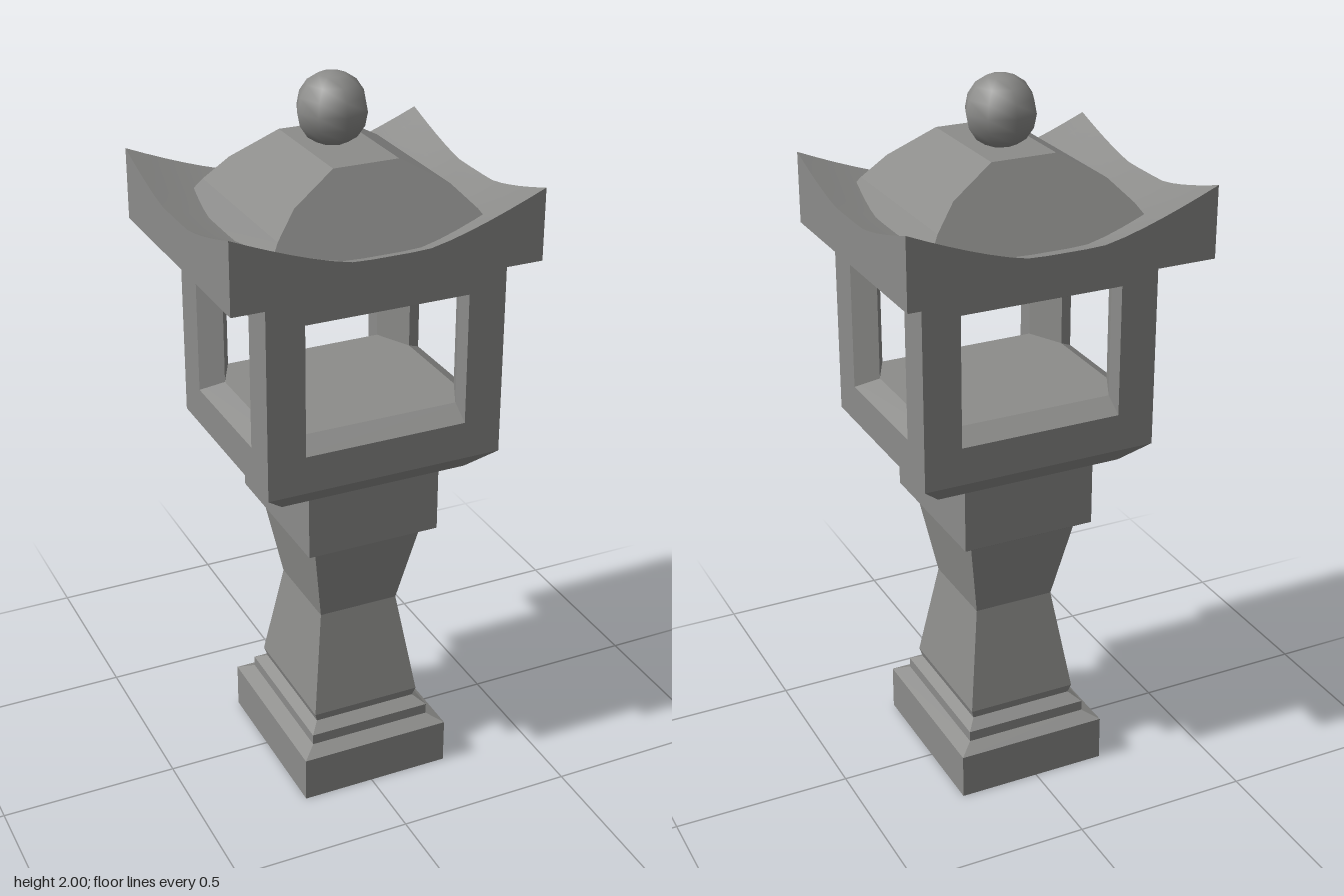
import * as THREE from 'three';

const stone = new THREE.MeshStandardMaterial({ color: 0x8c8c8a });
stone.name = 'grey stone';
const flatStone = (geometry) => {
  const g = geometry.index ? geometry.toNonIndexed() : geometry;
  g.computeVertexNormals();
  return g;
};

// Stack of rectangles [y, halfX, halfZ], bottom to top, with end caps
function loft(sections) {
  const pos = [];
  const ring = ([y, x, z]) => [[-x, y, z], [x, y, z], [x, y, -z], [-x, y, -z]];
  const quad = (a, b, c, d) => pos.push(...a, ...b, ...c, ...a, ...c, ...d);
  const rings = sections.map(ring);
  for (let i = 0; i < rings.length - 1; i++) {
    const lo = rings[i], hi = rings[i + 1];
    for (let k = 0; k < 4; k++) {
      const n = (k + 1) % 4;
      quad(lo[k], lo[n], hi[n], hi[k]);
    }
  }
  quad(...rings[0].slice().reverse());
  quad(...rings[rings.length - 1]);
  const g = new THREE.BufferGeometry();
  g.setAttribute('position', new THREE.Float32BufferAttribute(pos, 3));
  return flatStone(g);
}

// Curved-up eaves: flat in the middle, rising to the corners
const rise = (v, flat, half) => Math.pow(Math.max(0, (Math.abs(v) - flat) / (half - flat)), 1.3);
const eaveHeight = (x, z) => 1.64 + 0.11 * rise(x, 0.09, 0.425) - 0.07 * (1 - rise(z, 0.08, 0.36));

export function createModel() {
  const model = new THREE.Group();
  model.name = 'stoneLantern';
  const add = (parent, name, geometry) => {
    const mesh = new THREE.Mesh(geometry, stone);
    mesh.name = name;
    parent.add(mesh);
    return mesh;
  };

  // Everything below the roof shares a slightly shifted axis
  const body = new THREE.Group();
  body.name = 'lanternBody';
  body.position.set(0.0125, 0, 0.0315);
  model.add(body);

  add(body, 'base', loft([
    [0, 0.2175, 0.2525], [0.13, 0.2175, 0.2525], [0.15, 0.1775, 0.213],
    [0.18, 0.1775, 0.213], [0.2, 0.15, 0.178],
  ]));
  add(body, 'shaft', loft([
    [0.2, 0.15, 0.178], [0.225, 0.1575, 0.185], [0.515, 0.115, 0.13], [0.745, 0.155, 0.183],
  ]));
  add(body, 'capital', loft([
    [0.745, 0.155, 0.183], [0.77, 0.19, 0.2225], [0.945, 0.19, 0.2225],
  ]));

  // Light chamber: floor with sloping sills, ceiling and four corner posts
  const hx = 0.3325, hz = 0.29, wall = 0.055;
  add(body, 'chamberFloor', loft([
    [0.945, 0.2675, 0.2225], [1.01, hx, hz], [1.115, hx, hz], [1.15, hx - wall, hz - wall],
  ]));
  add(body, 'chamberCeiling', loft([
    [1.455, hx - wall, hz - wall], [1.48, hx, hz], [1.555, hx, hz],
  ]));
  for (const sx of [-1, 1]) {
    for (const sz of [-1, 1]) {
      const section = new THREE.Shape([
        [hx, hz], [0.2275, hz], [0.2275, hz - wall], [hx - wall, 0.1325], [hx, 0.1825],
      ].map(([x, z]) => new THREE.Vector2(x * sx, z * sz)));
      const post = new THREE.ExtrudeGeometry(section, { depth: 0.365, bevelEnabled: false });
      post.rotateX(Math.PI / 2).translate(0, 1.48, 0);
      add(body, 'cornerPost', post);
    }
  }

  // Eaves: slab whose top follows the curved rule
  const eaves = new THREE.BoxGeometry(0.85, 1, 0.72, 16, 1, 16);
  const ep = eaves.attributes.position;
  for (let i = 0; i < ep.count; i++) {
    ep.setY(i, ep.getY(i) > 0 ? eaveHeight(ep.getX(i), ep.getZ(i)) : 1.555);
  }
  eaves.computeVertexNormals();
  add(model, 'eaves', eaves);

  // Roof crown: faceted arch with ends sloping outward toward the bottom
  const arch = [[0.09, 1.82], [0.213, 1.75], [0.273, 1.687], [0.353, 1.57]];
  const outline = [...arch, ...arch.map(([x, y]) => [-x, y]).reverse()];
  const crown = new THREE.ExtrudeGeometry(
    new THREE.Shape(outline.map(([x, y]) => new THREE.Vector2(x, y))),
    { depth: 1, bevelEnabled: false },
  );
  const cp = crown.attributes.position;
  for (let i = 0; i < cp.count; i++) {
    const reach = 0.167 + (1.82 - cp.getY(i)) * 0.6;
    cp.setZ(i, cp.getZ(i) > 0.5 ? reach : -reach);
  }
  add(model, 'roofCrown', flatStone(crown)).position.set(0.01, 0, 0.024);

  // Finial ball
  add(model, 'finial', new THREE.SphereGeometry(0.096, 8, 8)).position.set(0.008, 1.904, -0.006);

  return model;
}
